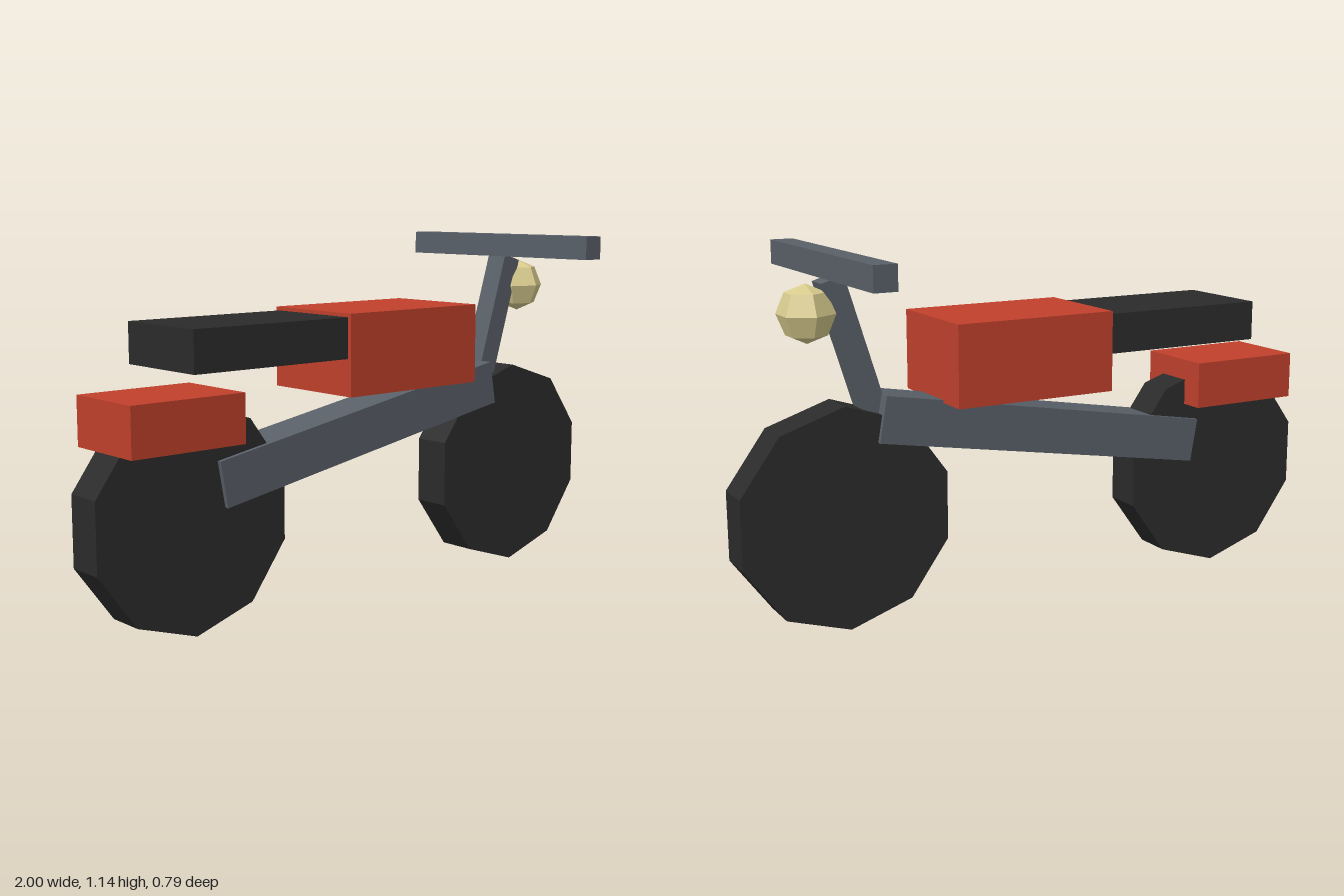
import * as THREE from 'three';

const flat = (name, color) => {
  const m = new THREE.MeshStandardMaterial({ color });
  m.name = name;
  m.flatShading = true;
  return m;
};

export function createModel() {
  const bike = new THREE.Group();
  bike.name = 'motorbike';

  const red = flat('red paint', 0xc0402c);
  const black = flat('black rubber', 0x2b2b2b);
  const grey = flat('grey metal', 0x596068);
  const cream = flat('cream lamp', 0xd8cb8e);

  const add = (name, geometry, material, x, y) => {
    const mesh = new THREE.Mesh(geometry, material);
    mesh.name = name;
    mesh.position.set(x, y, 0);
    bike.add(mesh);
    return mesh;
  };
  const box = (name, material, w, h, d, x, y, tilt = 0) => {
    add(name, new THREE.BoxGeometry(w, h, d), material, x, y).rotation.z = tilt;
  };

  // Ten-sided wheels, one corner pointing straight down
  for (const [name, x] of [['rearWheel', -0.672], ['frontWheel', 0.672]]) {
    const wheel = new THREE.CylinderGeometry(0.345, 0.345, 0.125, 10).rotateX(Math.PI / 2);
    add(name, wheel, black, x, 0.345);
  }

  // Sloping frame beam and raked-back fork
  box('frame', grey, 1.152, 0.144, 0.154, -0.01, 0.54, THREE.MathUtils.degToRad(10));
  box('fork', grey, 0.073, 0.46, 0.075, 0.62, 0.84, THREE.MathUtils.degToRad(-17.2));
  box('handlebar', grey, 0.072, 0.075, 0.794, 0.681, 1.101);

  // Bodywork
  box('tank', red, 0.537, 0.253, 0.36, 0.091, 0.796);
  box('seat', black, 0.565, 0.126, 0.33, -0.455, 0.848);
  box('rearFender', red, 0.385, 0.15, 0.28, -0.737, 0.641);

  // Faceted headlight
  add('headlight', new THREE.SphereGeometry(0.088, 6, 4).rotateY(Math.PI / 2), cream, 0.758, 0.961);

  return bike;
}
